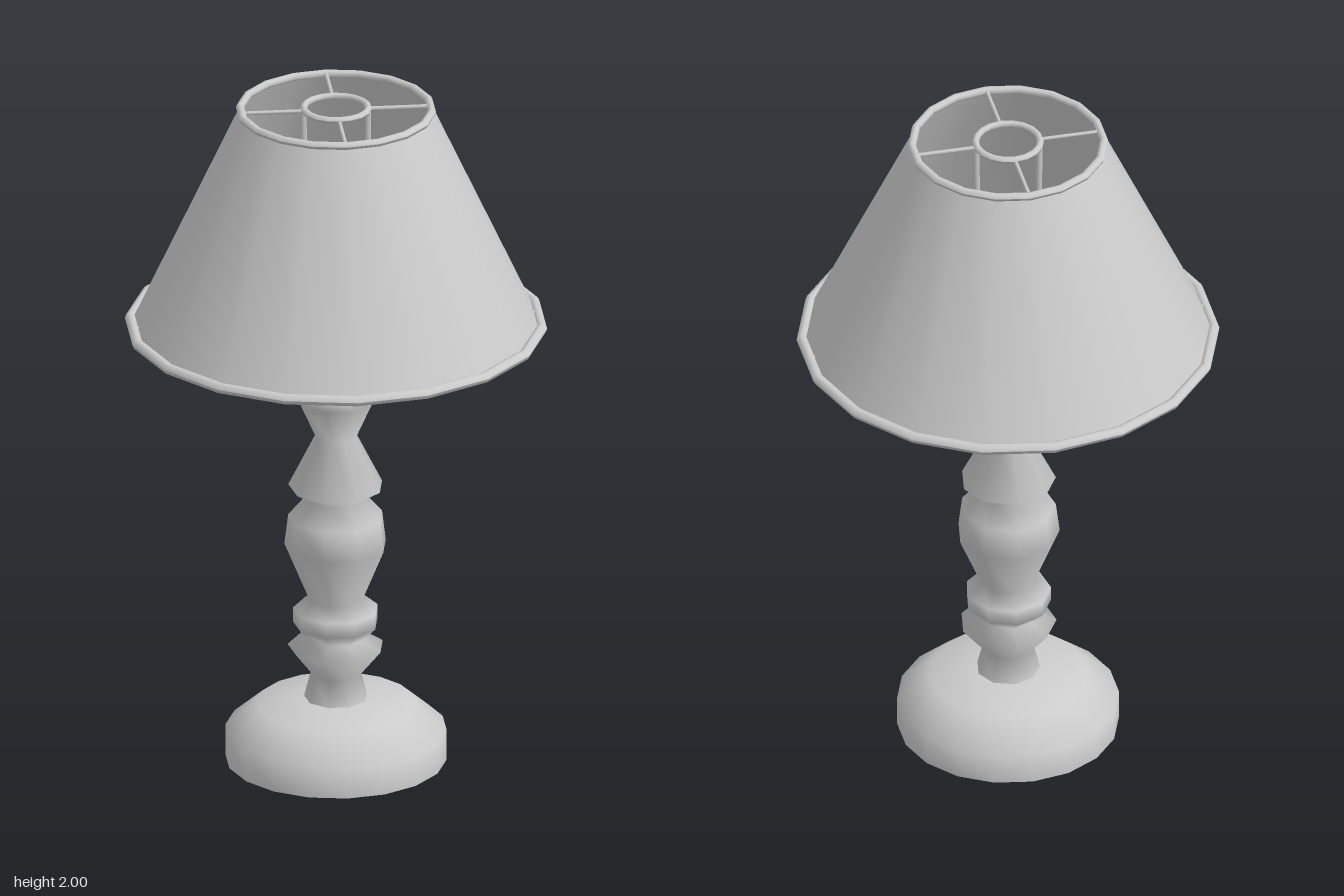
import * as THREE from 'three';

export function createModel() {
  const group = new THREE.Group();
  const solid = new THREE.MeshStandardMaterial({ color: 0xcccccc });
  const thin = new THREE.MeshStandardMaterial({ color: 0xcccccc, side: THREE.DoubleSide });

  const add = (name, geometry, material = solid) => {
    const mesh = new THREE.Mesh(geometry, material);
    mesh.name = name;
    group.add(mesh);
    return mesh;
  };
  // Turned part from [radius, height] pairs, listed bottom to top
  const turned = (name, profile, sides, material) =>
    add(name, new THREE.LatheGeometry(profile.map(([r, y]) => new THREE.Vector2(r, y)), sides), material);
  // Wire ring whose corners line up with the turned parts
  const ring = (name, radius, y, wire, sides) => {
    const section = [];
    for (let i = 0; i <= 8; i++) {
      const a = (i / 8) * Math.PI * 2;
      section.push([radius + wire * Math.cos(a), y + wire * Math.sin(a)]);
    }
    return turned(name, section, sides);
  };
  // Straight wire between two points
  const rod = (name, from, to, radius) => {
    const path = new THREE.LineCurve3(new THREE.Vector3(...from), new THREE.Vector3(...to));
    return add(name, new THREE.TubeGeometry(path, 1, radius, 6));
  };

  // Hollow foot, open underneath
  turned('base', [[0.315, 0], [0.315, 0.09], [0.225, 0.168], [0.09, 0.185], [0, 0.187]], 18, thin);

  // Turned column with nine sides
  turned('column', [
    [0.092, 0.18], [0.072, 0.26], [0.138, 0.342], [0.078, 0.368], [0.122, 0.41],
    [0.122, 0.455], [0.08, 0.49], [0.147, 0.65], [0.136, 0.74], [0.085, 0.8],
    [0.136, 0.832], [0.06, 0.985], [0.112, 1.1], [0.097, 1.14], [0, 1.142],
  ], 9).rotation.y = Math.PI;

  // Stem, socket cup and bulb
  turned('stem', [[0.043, 1.14], [0.038, 1.25], [0.038, 1.4]], 12);
  turned('socket', [
    [0.038, 1.37], [0.06, 1.4], [0.097, 1.45], [0.1, 1.49], [0.085, 1.53], [0.062, 1.54],
    [0.062, 1.6], [0, 1.605],
  ], 12);
  turned('bulb', [
    [0.05, 1.59], [0.066, 1.625], [0.075, 1.67], [0.069, 1.705], [0.053, 1.73], [0.028, 1.745], [0, 1.75],
  ], 16);

  // Shade with its wire rims
  turned('shade', [[0.58, 1.325], [0.275, 1.985]], 18, thin);
  ring('shadeBottomRim', 0.585, 1.33, 0.016, 18);
  ring('shadeTopRim', 0.273, 1.985, 0.012, 18);
  ring('harpRing', 0.092, 1.99, 0.01, 18);

  // Four spokes from the harp ring to the top rim
  for (let i = 0; i < 4; i++) {
    const a = (i * Math.PI) / 2;
    const c = Math.cos(a), s = Math.sin(a);
    rod('spoke', [0.092 * c, 1.985, 0.092 * s], [0.27 * c, 1.985, 0.27 * s], 0.006);
  }

  // Bar across the bottom rim
  rod('crossBar', [-0.58, 1.333, 0], [0.58, 1.333, 0], 0.011);

  // Harp wires bowing round the socket and rising to the ring
  for (const [side, name] of [[1, 'leftHarp'], [-1, 'rightHarp']]) {
    const points = [
      [0.035, 1.4], [0.12, 1.39], [0.16, 1.43], [0.15, 1.48], [0.105, 1.53], [0.092, 1.62], [0.092, 1.99],
    ].map(([x, y]) => new THREE.Vector3(side * x, y, 0));
    add(name, new THREE.TubeGeometry(new THREE.CatmullRomCurve3(points), 28, 0.009, 6));
  }

  return group;
}
